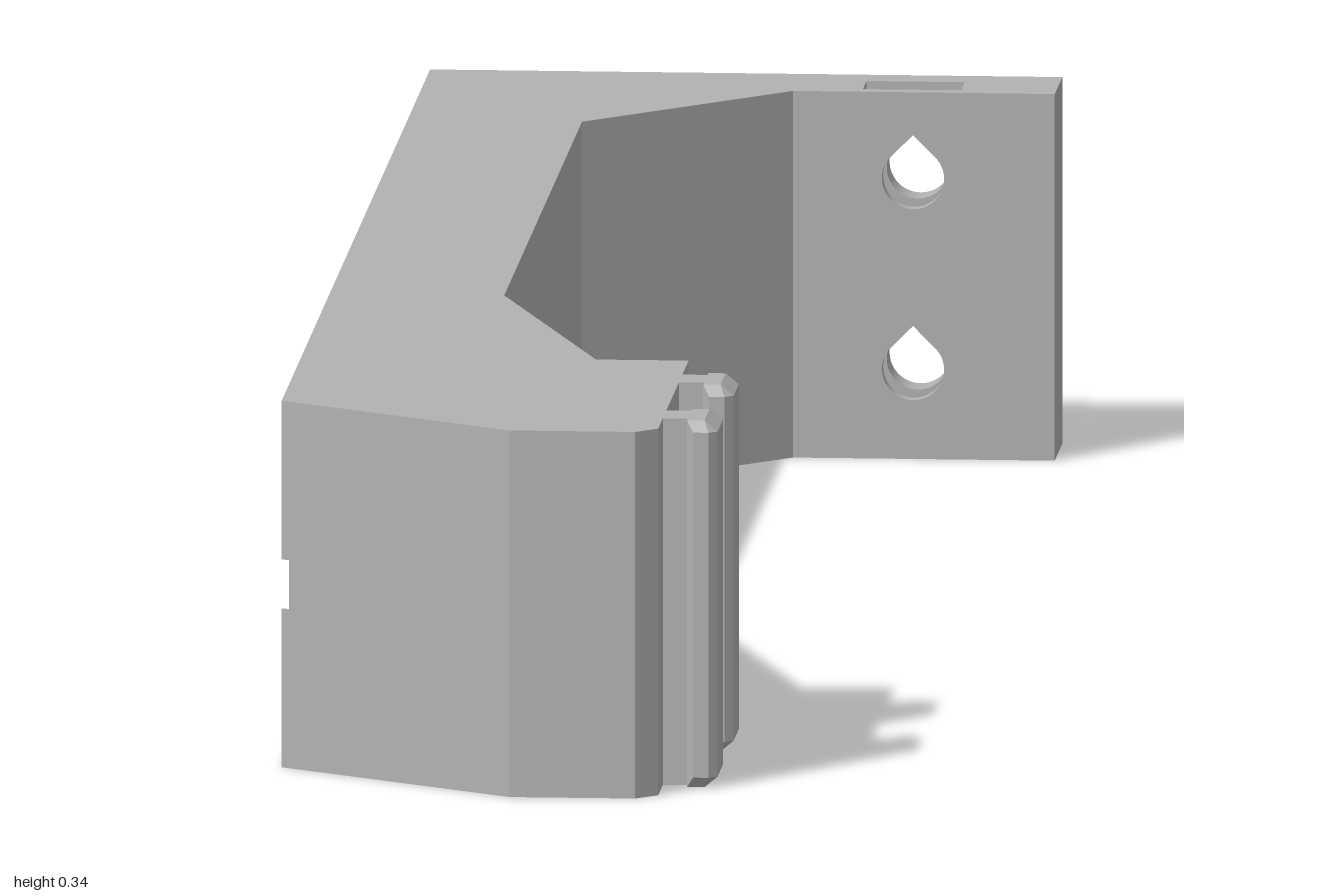
import * as THREE from 'three';
import { ConvexGeometry } from 'three/addons/geometries/ConvexGeometry.js';

const H = 0.34; // overall height
const grey = new THREE.MeshStandardMaterial({ color: 0xb2b2b2 });
grey.name = 'plain grey';

const vec = (pts) => pts.map(([a, b]) => new THREE.Vector2(a, b));

// Points on an arc, angles in degrees
function arc(cx, cy, r, from, to, n = 24) {
  return Array.from({ length: n + 1 }, (_, i) => {
    const a = THREE.MathUtils.degToRad(from + ((to - from) * i) / n);
    return [cx + r * Math.cos(a), cy + r * Math.sin(a)];
  });
}

// Round hole with a pointed roof
const teardrop = (cx, cy, r) => [...arc(cx, cy, r, 45, -225, 36), [cx, cy + r * Math.SQRT2]];

function extrude(pts, holes, depth) {
  const shape = new THREE.Shape(vec(pts));
  holes.forEach((h) => shape.holes.push(new THREE.Path(vec(h))));
  return new THREE.ExtrudeGeometry(shape, { depth, bevelEnabled: false });
}

// Outline in (x, z), raised from y0 to y1
const alongY = (pts, y0 = 0, y1 = H) =>
  extrude(pts.map(([x, z]) => [x, -z]), [], y1 - y0).rotateX(-Math.PI / 2).translate(0, y0, 0);
// Outline in (x, y), from z0 to z1
const alongZ = (pts, holes, z0, z1) => extrude(pts, holes, z1 - z0).translate(0, 0, z0);
// Outline in (z, y), from x0 to x1
const alongX = (pts, holes, x0, x1) => {
  const flip = (list) => list.map(([z, y]) => [-z, y]);
  return extrude(flip(pts), holes.map(flip), x1 - x0).rotateY(Math.PI / 2).translate(x0, 0, 0);
};

export function createModel() {
  const model = new THREE.Group();
  model.name = 'mountingBracket';
  const add = (name, geometry) => {
    const mesh = new THREE.Mesh(geometry, grey);
    mesh.name = name;
    model.add(mesh);
  };

  // Long arm with the gusset at the back and the widening at the front
  add('arm', alongY([
    [-0.29, -1], [0.05, -1], [0.05, -0.905], [-0.13, -0.72], [-0.13, 0.25],
    [-0.02, 0.6], [0.065, 0.6], [0.065, 0.7], [-0.29, 0.7],
  ]));

  // Back flange: two drilled skins around a core with nut slots
  const flange = [[0.05, 0], [0.29, 0], [0.29, H], [0.05, H]];
  const screwHoles = [0.083, 0.26].map((y) => teardrop(0.16, y, 0.0285));
  add('flangeBackSkin', alongZ(flange, screwHoles, -1, -0.965));
  add('flangeFrontSkin', alongZ(flange, screwHoles, -0.92, -0.905));
  add('flangeCore', alongZ([
    [0.05, 0], [0.113, 0], [0.113, 0.128], [0.203, 0.128], [0.203, 0], [0.29, 0],
    [0.29, H], [0.203, H], [0.203, 0.215], [0.113, 0.215], [0.113, H], [0.05, H],
  ], [], -0.965, -0.92));

  // Front block, layered across: counterbore, bolt hole, nut slot, bolt hole
  const r = 0.055, cz = 0.8, cy = 0.17, clip = 24.62, half = 0.0229;
  add('blockCounterbore', alongX([
    [0.7, 0], [0.85, 0],
    ...arc(cz, cy, r, -clip, -225), [cz, cy + r * Math.SQRT2], ...arc(cz, cy, r, 45, clip, 4),
    [0.85, H], [0.7, H],
  ], [], -0.29, -0.05));
  const block = [[0.7, 0], [0.85, 0], [0.85, H], [0.7, H]];
  const boltHole = [teardrop(cz, cy, 0.029)];
  add('blockInner', alongX(block, boltHole, -0.05, 0));
  add('blockNutSlot', alongX([
    [0.7, 0], [0.755, 0], [0.755, 0.215], [0.845, 0.215], [0.845, 0],
    [0.85, 0], [0.85, H], [0.7, H],
  ], [], 0, 0.045));
  add('blockOuter', alongX(block, boltHole, 0.045, 0.065));

  // Chamfered nose; its middle band is nicked by the counterbore
  const nose = [[0.065, 0.98], [0.045, 1], [-0.07, 1]];
  const full = [[-0.29, 0.85], [0.065, 0.85], ...nose];
  const nicked = [[-0.283, 0.855], [-0.05, 0.855], [-0.05, 0.85], [0.065, 0.85], ...nose];
  add('noseLower', alongY(full, 0, cy - half));
  add('noseMiddle', alongY(nicked, cy - half, cy + half));
  add('noseUpper', alongY(full, cy + half, H));

  // Two T-shaped rails on the side of the block
  const profile = [[0.088, 0.032], [0.094, 0.04], [0.108, 0.04], [0.116, 0.032]];
  const endProfile = [[0.088, 0.032], [0.104, 0.032]];
  for (const z of [0.7, 0.9]) {
    add('railStem', alongY([[0.06, z - 0.022], [0.09, z - 0.022], [0.09, z + 0.022], [0.06, z + 0.022]]));
    const pts = [];
    for (const [list, ys] of [[profile, [0.01, H - 0.01]], [endProfile, [0, H]]])
      for (const y of ys)
        for (const [x, w] of list)
          pts.push(new THREE.Vector3(x, y, z - w), new THREE.Vector3(x, y, z + w));
    add('railHead', new ConvexGeometry(pts));
  }
  return model;
}
